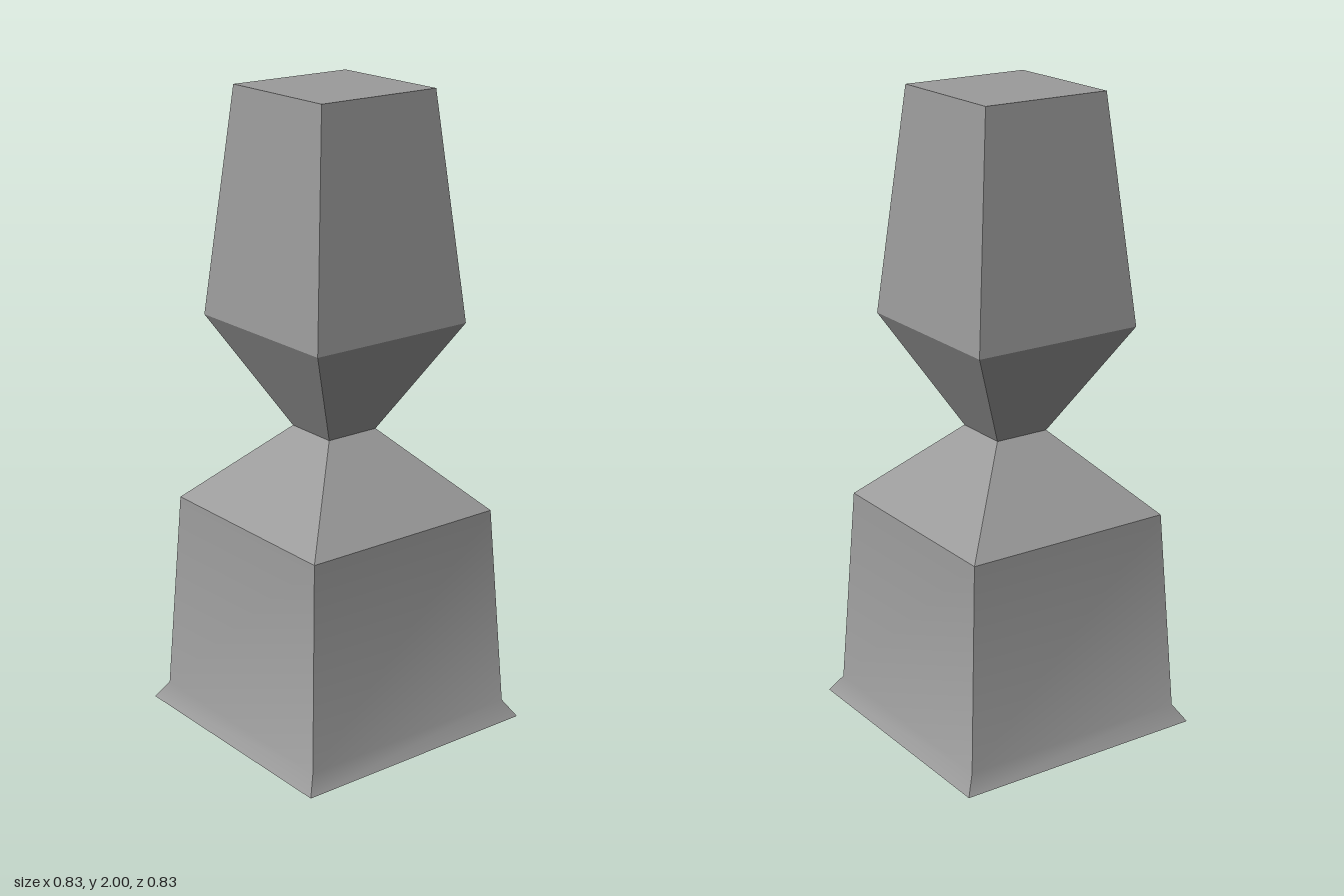
import * as THREE from 'three';
import { toCreasedNormals } from 'three/addons/utils/BufferGeometryUtils.js';

// Square tapered walls through rings of [halfWidth, y]; gentle bends are smooth, corners sharp
function squareWalls(rings) {
  const positions = [];
  const index = [];
  rings.forEach(([h, y], i) => {
    positions.push(-h, y, h, h, y, h, h, y, -h, -h, y, -h);
    if (i === 0) return;
    for (let s = 0; s < 4; s++) {
      const a = 4 * (i - 1) + s;
      const b = 4 * (i - 1) + (s + 1) % 4;
      index.push(a, b, b + 4, a, b + 4, a + 4);
    }
  });
  const walls = new THREE.BufferGeometry();
  walls.setAttribute('position', new THREE.Float32BufferAttribute(positions, 3));
  walls.setIndex(index);
  return toCreasedNormals(walls, 0.6);
}

export function createModel() {
  const group = new THREE.Group();
  const material = new THREE.MeshStandardMaterial({ color: 0x9b9b9b });

  function add(name, geometry) {
    const mesh = new THREE.Mesh(geometry, material);
    mesh.name = name;
    group.add(mesh);
    return mesh;
  }

  // Profile levels: [halfWidth, y]
  const foot = [0.415, 0];
  const flare = [0.38, 0.055];
  const shoulder = [0.343, 0.702];
  const waist = [0.09, 0.955];
  const bulge = [0.28, 1.3];
  const top = [0.209, 2];

  // Tapered walls, from the flared foot up to the head
  add('flaredBase', squareWalls([foot, flare, shoulder]));
  add('slopingShoulder', squareWalls([shoulder, waist]));
  add('headUnderside', squareWalls([waist, bulge]));
  add('head', squareWalls([bulge, top]));

  // Flat end caps
  const cap = ([h]) => new THREE.PlaneGeometry(2 * h, 2 * h);
  add('topCap', cap(top).rotateX(-Math.PI / 2)).position.y = top[1];
  add('bottomCap', cap(foot).rotateX(Math.PI / 2)).position.y = foot[1];

  return group;
}
